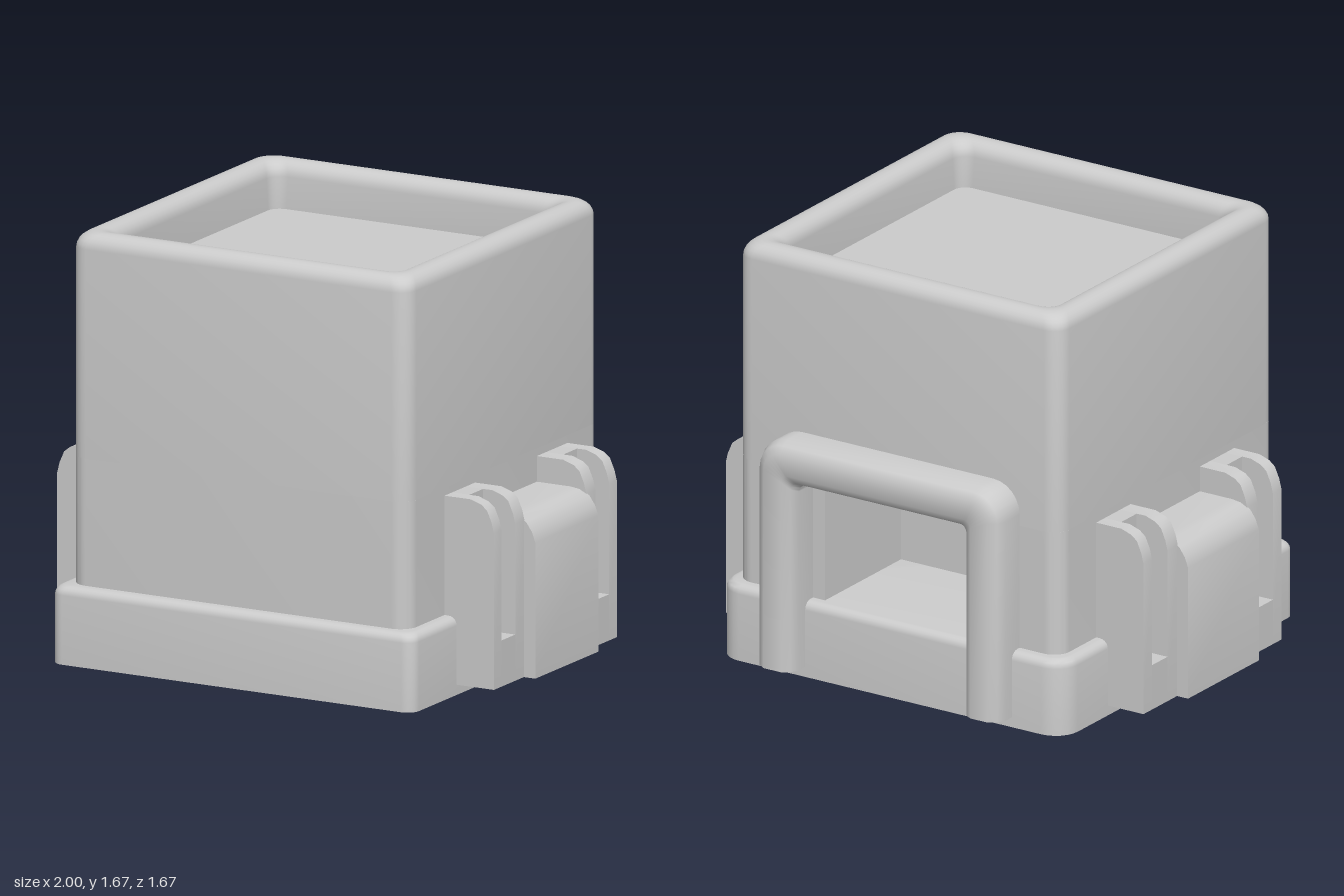
import * as THREE from 'three';
import { toCreasedNormals } from 'three/addons/utils/BufferGeometryUtils.js';

const material = new THREE.MeshStandardMaterial({ color: 0xcccccc, side: THREE.DoubleSide });
const CENTER_Z = 0.05;

function add(parent, name, geometry, crease = 0.75) {
  const mesh = new THREE.Mesh(toCreasedNormals(geometry, crease), material);
  mesh.name = name;
  parent.add(mesh);
  return mesh;
}

// Leaves a part open underneath by dropping the triangles that lie at height y
function openBottom(geometry, y) {
  const source = geometry.index ? geometry.toNonIndexed() : geometry;
  const p = source.attributes.position, kept = [];
  for (let i = 0; i < p.count; i += 3) {
    const corners = [i, i + 1, i + 2];
    if (corners.every((k) => Math.abs(p.getY(k) - y) < 1e-4)) continue;
    corners.forEach((k) => kept.push(p.getX(k), p.getY(k), p.getZ(k)));
  }
  const g = new THREE.BufferGeometry();
  g.setAttribute('position', new THREE.Float32BufferAttribute(kept, 3));
  return g;
}

// Skin over closed rows of points, all with the same count
function skin(rows) {
  const n = rows[0].length, index = [];
  for (let j = 0; j < rows.length - 1; j++) {
    for (let i = 0; i < n; i++) {
      const a = j * n + i, b = j * n + (i + 1) % n;
      index.push(a, a + n, b, b, a + n, b + n);
    }
  }
  const g = new THREE.BufferGeometry();
  g.setAttribute('position', new THREE.Float32BufferAttribute(rows.flat(2), 3));
  g.setIndex(index);
  return g;
}

// Horizontal rounded rectangle, with separate front and back corner radii
function ring(y, hx, hz, front, back = front) {
  const points = [], segments = 6;
  [[1, 1, front], [-1, 1, front], [-1, -1, back], [1, -1, back]].forEach(([sx, sz, r], q) => {
    for (let k = 0; k <= segments; k++) {
      const a = (q + k / segments) * Math.PI / 2;
      points.push([
        sx * (hx - r) + r * Math.cos(a), y,
        CENTER_Z + sz * (hz - r) + r * Math.sin(a)]);
    }
  });
  return points;
}

const center = (y) => ring(y, 0, 0, 0);

function extrude(points, depth) {
  const shape = new THREE.Shape(points.map(([x, y]) => new THREE.Vector2(x, y)));
  return new THREE.ExtrudeGeometry(shape, { depth, bevelEnabled: false });
}

// Hollow double-walled skirt around the foot, with a rounded top edge
function skirt() {
  const h = 0.788, inner = 0.7;
  const rows = [center(0.27), ring(0.27, inner, inner, 0.03, 0.06), ring(0, inner, inner, 0.03, 0.06),
    ring(0, h, h, 0.05, 0.1)];
  for (let k = 0; k <= 5; k++) {
    const a = k / 5 * Math.PI / 2, e = 0.035 * (1 - Math.cos(a));
    rows.push(ring(0.27 + 0.035 * Math.sin(a), h - e, h - e, 0.05, 0.1 - e));
  }
  rows.push(center(0.305));
  return openBottom(skin(rows), 0);
}

// Upper body: rounded rim around a sunken tray
function upperBody() {
  const h = 0.735, r = 0.06;
  const rows = [center(0.8), ring(0.8, h, h, 0.07)];
  for (let k = 0; k <= 6; k++) {
    const a = k / 6 * Math.PI / 2, e = r * (1 - Math.cos(a));
    rows.push(ring(1.675 - r + r * Math.sin(a), h - e, h - e, 0.07));
  }
  for (let k = 1; k <= 6; k++) {
    const a = k / 6 * Math.PI / 2, e = 0.065 + 0.055 * Math.sin(a);
    rows.push(ring(1.615 + 0.06 * Math.cos(a), h - e, h - e, 0.06));
  }
  rows.push(ring(1.49, 0.612, 0.612, 0.05), center(1.49));
  return skin(rows);
}

// Lower body: rounded square with a pocket in the back
function lowerBody() {
  const h = 0.735, r = 0.07, c = h - r, pocket = 0.33, s = new THREE.Shape();
  s.moveTo(-c, -h);
  s.absarc(c, -c, r, -Math.PI / 2, 0);
  s.absarc(c, c, r, 0, Math.PI / 2);
  s.lineTo(pocket, h);
  s.lineTo(pocket, 0.22);
  s.lineTo(-pocket, 0.22);
  s.lineTo(-pocket, h);
  s.absarc(-c, c, r, Math.PI / 2, Math.PI);
  s.absarc(-c, -c, r, Math.PI, Math.PI * 1.5);
  const g = new THREE.ExtrudeGeometry(s, { depth: 0.52, bevelEnabled: false, curveSegments: 6 });
  return g.rotateX(-Math.PI / 2).translate(0, 0.28, CENTER_Z);
}

// Arched handle: a rounded section carried up, over and down
function handle() {
  const section = [[0, -0.78], [0, -0.67], [0.17, -0.67], [0.17, -0.78], [0.155, -0.815],
    [0.125, -0.835], [0.045, -0.835], [0.015, -0.815]];
  const row = (place) => section.map(([e, z]) => place(e, z));
  const rows = [row((e, z) => [0.555 - e, 0.04, z])];
  for (const side of [1, -1]) {
    for (let k = 0; k <= 6; k++) {
      const t = (side > 0 ? k : 6 - k) / 6 * Math.PI / 2;
      rows.push(row((e, z) => {
        const r = Math.max(0.12 - e, 0.03);
        return [side * (0.555 - e - r + r * Math.cos(t)), 0.965 - e - r + r * Math.sin(t), z];
      }));
    }
  }
  rows.push(row((e, z) => [e - 0.555, 0.04, z]));
  return skin(rows);
}

// Side bracket: a curved block between two slotted prongs, hollow underneath
function bracket() {
  const group = new THREE.Group();
  const block = [[0.6, 0.04], [1, 0.04], [1, 0.57], [0.985, 0.61], [0.96, 0.645], [0.92, 0.665],
    [0.88, 0.67], [0.6, 0.67]];
  const cheek = [[0.54, 0.04], [0.95, 0.04], [0.95, 0.65], [0.94, 0.69], [0.92, 0.735], [0.895, 0.755],
    [0.85, 0.77], [0.54, 0.77]];
  const slot = [[0.54, 0.04], [0.95, 0.04], [0.95, 0.22], [0.81, 0.22], [0.81, 0.77], [0.54, 0.77]];
  const hollow = (profile, depth) => openBottom(extrude(profile, depth), 0.04);
  add(group, 'bracketBlock', hollow(block, 0.48)).position.z = -0.24;
  for (const side of [1, -1]) {
    const prong = new THREE.Group();
    prong.name = 'bracketProng';
    [[cheek, 0.235, 0.305], [slot, 0.305, 0.41], [cheek, 0.41, 0.468]].forEach(([profile, z0, z1], i) => {
      const mesh = add(prong, i === 1 ? 'prongSlot' : 'prongCheek', hollow(profile, z1 - z0));
      mesh.position.z = side > 0 ? z0 : -z1;
    });
    group.add(prong);
  }
  return group;
}

export function createModel() {
  const model = new THREE.Group();
  model.name = 'container';
  add(model, 'skirt', skirt());
  add(model, 'lowerBody', lowerBody());
  add(model, 'upperBody', upperBody());
  add(model, 'backHandle', handle());
  for (const [name, turn] of [['leftBracket', 0], ['rightBracket', Math.PI]]) {
    const part = bracket();
    part.name = name;
    part.rotation.y = turn;
    part.position.z = 0.034;
    model.add(part);
  }
  return model;
}
